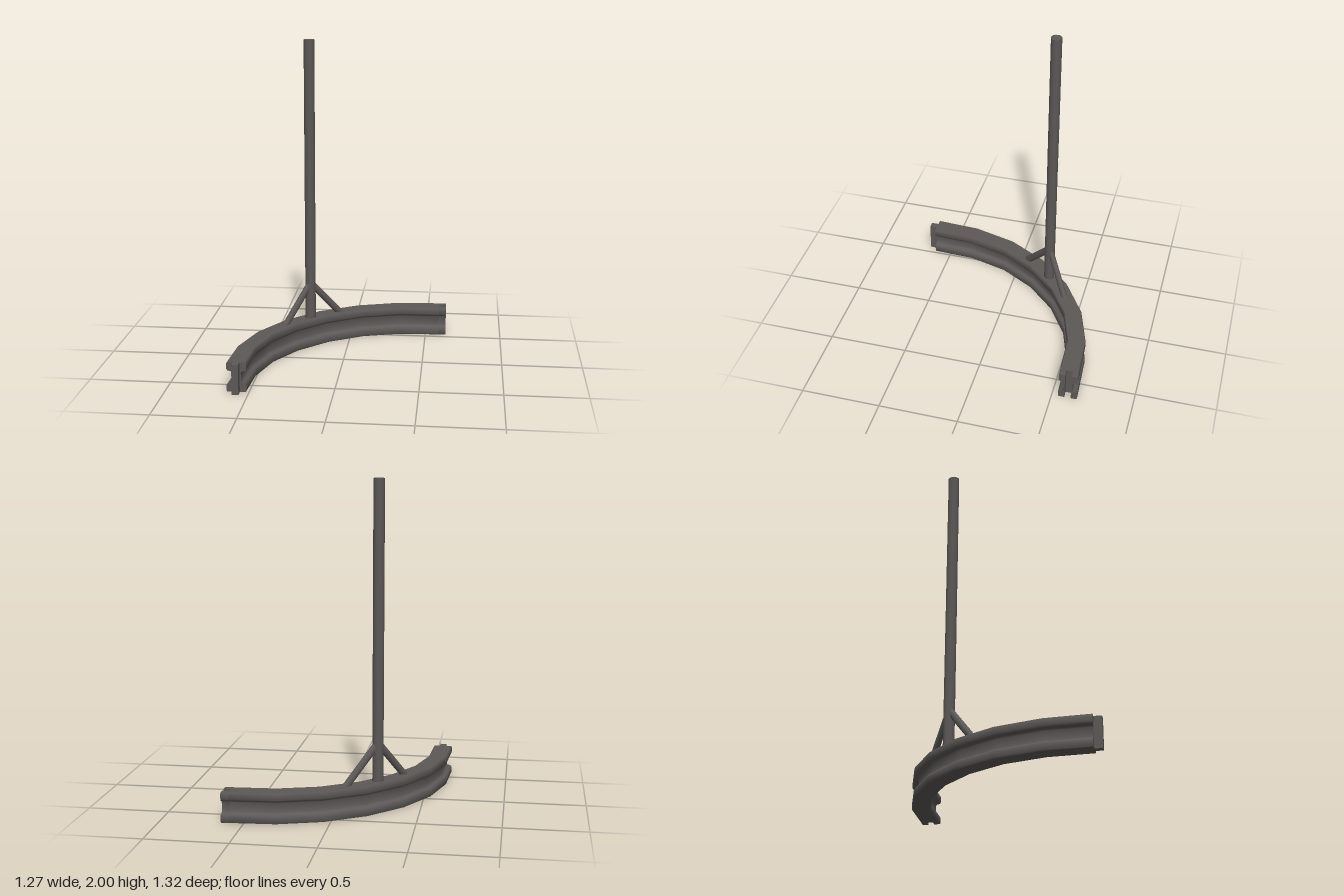
import * as THREE from 'three';
import { toCreasedNormals } from 'three/addons/utils/BufferGeometryUtils.js';

const steel = new THREE.MeshStandardMaterial({ color: 0x5b5856 });
steel.name = 'dark steel';

const H = 0.185; // beam height

// Outer and inner corners of the curved beam, [outerX, outerZ, innerX, innerZ]
const stations = [
  [-0.635, 0.61, -0.515, 0.61],
  [-0.62, 0.33, -0.503, 0.34],
  [-0.543, 0.05, -0.435, 0.09],
  [-0.40, -0.20, -0.307, -0.13],
  [-0.203, -0.405, -0.13, -0.315],
  [0.04, -0.555, 0.085, -0.45],
  [0.31, -0.64, 0.33, -0.525],
  [0.59, -0.657, 0.59, -0.538],
];
const tip = [0.635, -0.66, 0.635, -0.54];

// Outer half of the I-section, [u, y]; u = 1 is the outer edge, -1 the inner edge
const lower = [[0.92, 0], [1, 0.008], [1, 0.04], [0.88, 0.052], [0.55, 0.056], [0.46, 0.066]];
const upper = lower.map(([u, y]) => [u, H - y]).reverse();
const half = [...lower, ...upper];
const mirror = (pts) => pts.map(([u, y]) => [-u, y]).reverse();
const fullProfile = [...half, ...mirror(half)];
const lugProfile = [[1 / 3, 0], ...half, [1 / 3, H]];

// Sweeps a profile through stations and closes both ends
function sweep(profile, path) {
  const pos = [];
  const at = ([ox, oz, ix, iz], [u, y]) => {
    const t = (1 - u) / 2;
    return [ox + (ix - ox) * t, y, oz + (iz - oz) * t];
  };
  const tri = (a, b, c) => pos.push(...a, ...b, ...c);
  for (let s = 0; s < path.length - 1; s++) {
    profile.forEach((p, i) => {
      const q = profile[(i + 1) % profile.length];
      const a = at(path[s], p), b = at(path[s], q);
      const c = at(path[s + 1], q), d = at(path[s + 1], p);
      tri(a, b, c);
      tri(a, c, d);
    });
  }
  const first = path[0], last = path[path.length - 1];
  const caps = THREE.ShapeUtils.triangulateShape(profile.map(([u, y]) => new THREE.Vector2(u, y)), []);
  for (const [i, j, k] of caps) {
    tri(at(first, profile[k]), at(first, profile[j]), at(first, profile[i]));
    tri(at(last, profile[i]), at(last, profile[j]), at(last, profile[k]));
  }
  const geo = new THREE.BufferGeometry();
  geo.setAttribute('position', new THREE.Float32BufferAttribute(pos, 3));
  return toCreasedNormals(geo, 0.9);
}

export function createModel() {
  const model = new THREE.Group();
  model.name = 'curvedBeamWithPole';
  const add = (name, geo) => {
    const mesh = new THREE.Mesh(geo, steel);
    mesh.name = name;
    model.add(mesh);
    return mesh;
  };

  // Curved beam, with two lugs that leave a slot at one end
  add('curvedBeam', sweep(fullProfile, stations));
  const lugPath = [stations[stations.length - 1], tip];
  add('outerLug', sweep(lugProfile, lugPath));
  add('innerLug', sweep(mirror(lugProfile), lugPath));

  // Tongue at the other end that fits such a slot
  add('tongue', new THREE.BoxGeometry(0.04, H, 0.055)).position.set(-0.575, H / 2, 0.63);

  // Upright pole
  const px = -0.245, pz = -0.275, foot = 0.17;
  add('pole', new THREE.CylinderGeometry(0.034, 0.034, 2 - foot, 16)).position.set(px, (2 + foot) / 2, pz);

  // Slanted braces from the pole down to the beam
  const apex = new THREE.Vector3(px, 0.42, pz);
  for (const [name, x, z] of [['leftBrace', -0.062, -0.424], ['rightBrace', -0.393, -0.09]]) {
    const base = new THREE.Vector3(x, foot, z);
    const axis = apex.clone().sub(base);
    const side = new THREE.Vector3(axis.z, 0, -axis.x).normalize();
    const dir = axis.clone().normalize();
    const brace = add(name, new THREE.CylinderGeometry(0.023, 0.023, axis.length(), 12));
    brace.quaternion.setFromRotationMatrix(
      new THREE.Matrix4().makeBasis(side, dir, side.clone().cross(dir)));
    brace.scale.x = 0.8;
    brace.position.copy(base).add(apex).multiplyScalar(0.5);
  }
  return model;
}
